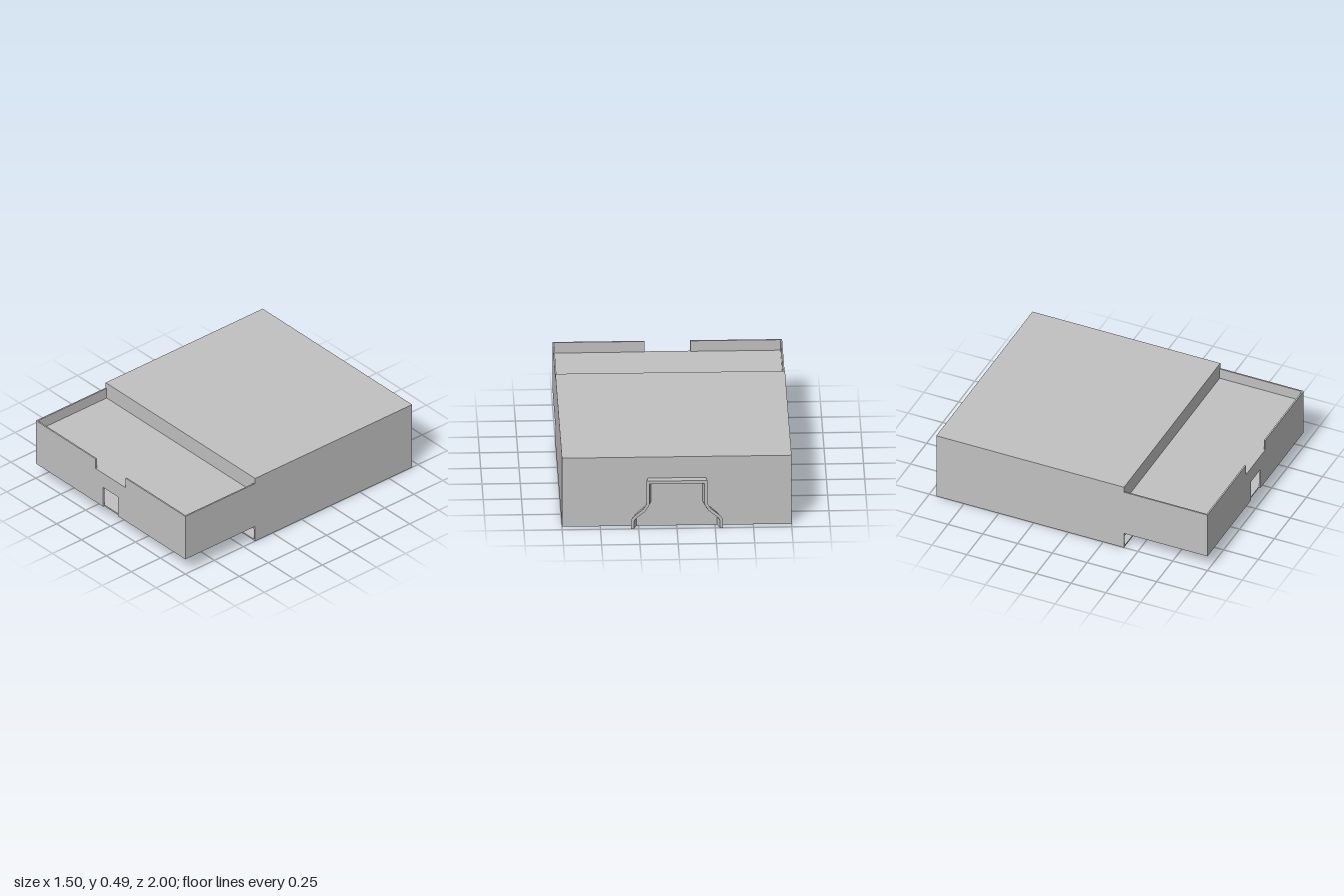
import * as THREE from 'three';

export function createModel() {
  const root = new THREE.Group();
  const grey = new THREE.MeshStandardMaterial({ color: 0xc0c0c0 });
  grey.name = 'plain grey';
  const T = 0.01; // sheet thickness

  const add = (name, geometry, parent = root) => {
    const mesh = new THREE.Mesh(geometry, grey);
    mesh.name = name;
    parent.add(mesh);
    return mesh;
  };
  // Box given by its minimum and maximum corners
  const box = (name, x0, x1, y0, y1, z0, z1, parent) =>
    add(name, new THREE.BoxGeometry(x1 - x0, y1 - y0, z1 - z0), parent)
      .position.set((x0 + x1) / 2, (y0 + y1) / 2, (z0 + z1) / 2);
  const polygon = (points) => new THREE.Shape(points.map(([x, y]) => new THREE.Vector2(x, y)));

  // Main body: hollow box, open low down at the front
  const body = new THREE.Group();
  body.name = 'body';
  root.add(body);
  box('bodyFloor', -0.75, 0.75, 0, T, -0.95, 0.4, body);
  box('bodyRoof', -0.75, 0.75, 0.49 - T, 0.49, -0.95, 0.4, body);
  box('bodyBack', -0.75, 0.75, T, 0.49 - T, -0.95, -0.95 + T, body);
  box('bodyFrontUpper', -0.75, 0.75, 0.375, 0.49 - T, 0.4 - T, 0.4, body);
  for (const s of [-1, 1]) {
    box('bodySide', s * 0.745 - T / 2, s * 0.745 + T / 2, T, 0.49 - T, -0.95 + T, 0.4, body);
    box('frontLip', s * 0.61 - 0.13, s * 0.61 + 0.13, 0.09, 0.115, 0.4 - T, 0.4, body);
  }

  // Raised front section: deck with a low rim, and a plate underneath
  const tray = new THREE.Group();
  tray.name = 'frontTray';
  root.add(tray);
  box('trayDeck', -0.74, 0.74, 0.375 - T, 0.375, 0.4, 0.99, tray);
  box('trayUnderside', -0.74, 0.74, 0.115, 0.115 + T, 0.38, 0.99, tray);
  for (const s of [-1, 1])
    box('traySide', s * 0.745 - T / 2, s * 0.745 + T / 2, 0.115, 0.45, 0.4, 0.99, tray);

  // Front wall with the notch in its rim and a square opening
  const wall = polygon([
    [-0.75, 0.115], [-0.075, 0.115], [-0.075, 0.265], [0.075, 0.265], [0.075, 0.115], [0.75, 0.115],
    [0.75, 0.45], [0.15, 0.45], [0.15, 0.375], [-0.15, 0.375], [-0.15, 0.45], [-0.75, 0.45],
  ]);
  add('trayFrontWall', new THREE.ExtrudeGeometry(wall, { depth: T, bevelEnabled: false }), tray)
    .position.z = 0.99;

  // Small fitting deep behind the opening
  const fitting = new THREE.Group();
  fitting.name = 'innerFitting';
  root.add(fitting);
  box('fittingBase', -0.065, 0.065, 0.125, 0.132, 0.38, 0.46, fitting);
  for (const y of [0.135, 0.165]) box('fittingRail', -0.075, 0.075, y, y + 0.012, 0.39, 0.45, fitting);
  for (const x of [-0.045, 0, 0.045]) box('fittingPost', x - 0.007, x + 0.007, 0.125, 0.17, 0.4, 0.44, fitting);

  // Stepped round base under the front section
  add('baseDisk', new THREE.CylinderGeometry(0.3, 0.3, 0.09, 64)).position.set(0, 0.045, 0.4);
  add('baseDiskStep', new THREE.CylinderGeometry(0.285, 0.285, 0.025, 64)).position.set(0, 0.1025, 0.4);

  // Bent strip frame on the back, slightly wider away from the wall
  const outer = [[0.3, 0], [0.3, 0.065], [0.285, 0.085], [0.22, 0.14], [0.2, 0.175], [0.2, 0.34]];
  const inner = [[0.18, 0.32], [0.18, 0.17], [0.205, 0.125], [0.27, 0.072], [0.28, 0.055], [0.28, 0]];
  const mirror = (points) => points.map(([x, y]) => [-x, y]).reverse();
  const strip = new THREE.ExtrudeGeometry(
    polygon([...outer, ...mirror(outer), ...mirror(inner), ...inner]),
    { depth: 0.05, bevelEnabled: false },
  );
  strip.translate(0, 0, -1);
  const p = strip.attributes.position;
  for (let i = 0; i < p.count; i++) if (p.getZ(i) > -0.975) p.setX(i, p.getX(i) * 0.94);
  strip.computeVertexNormals();
  add('backFrame', strip);

  return root;
}
